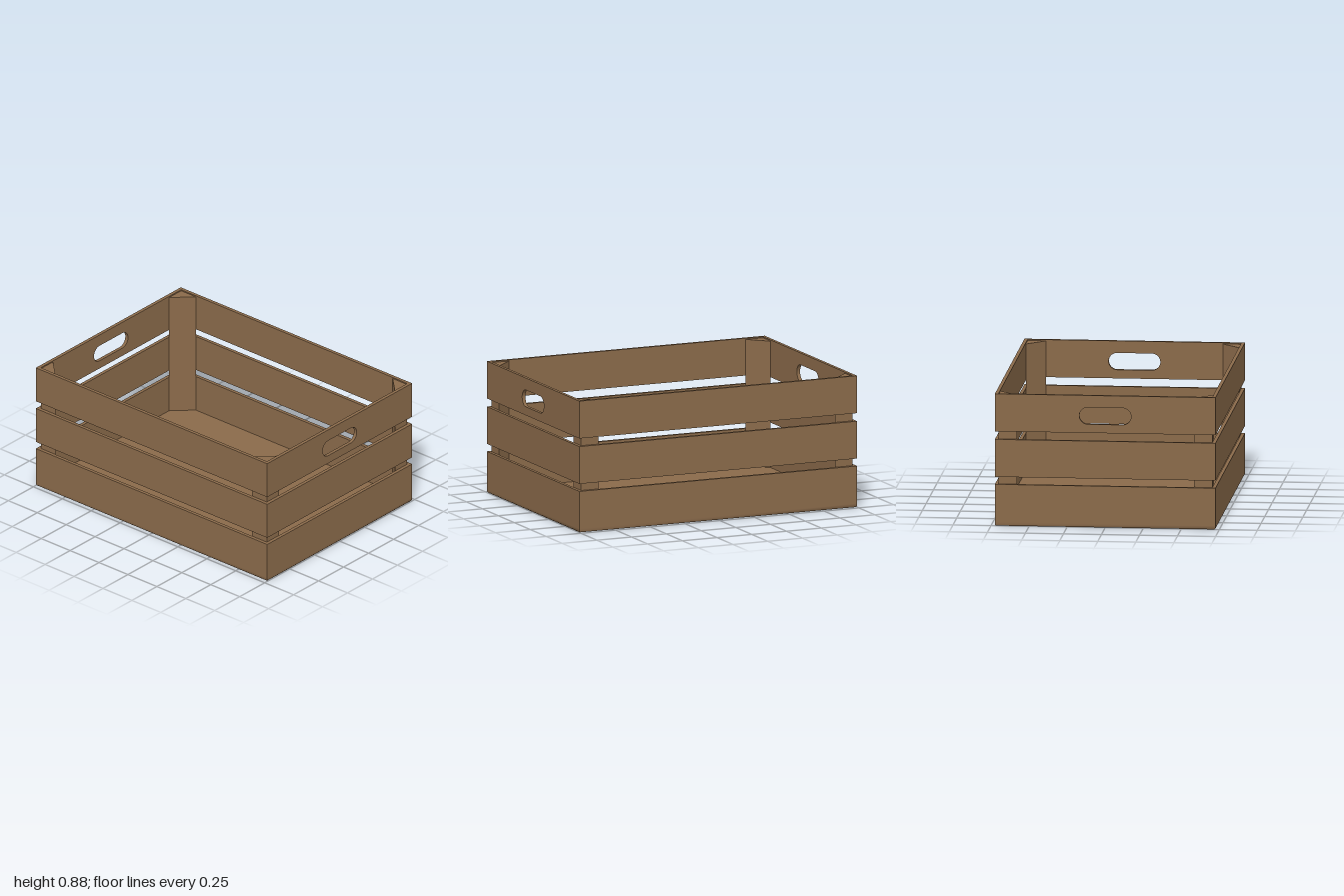
import * as THREE from 'three';

const W = 1, D = 0.725, T = 0.023, FLOOR = 0.025;
const wood = new THREE.MeshStandardMaterial({ color: 0x8a6a4a });
wood.name = 'brownWood';

export function createModel() {
  const crate = new THREE.Group();
  crate.name = 'crate';

  const add = (name, geometry, x = 0, y = 0, z = 0) => {
    const mesh = new THREE.Mesh(geometry, wood);
    mesh.name = name;
    mesh.position.set(x, y, z);
    crate.add(mesh);
    return mesh;
  };

  // Floor panel with a small chamfer around its underside
  const floor = new THREE.BoxGeometry(2 * W, FLOOR, 2 * D, 1, 2, 1);
  const p = floor.attributes.position;
  for (let i = 0; i < p.count; i++) {
    const y = p.getY(i);
    if (y < -0.001) {
      p.setX(i, p.getX(i) - Math.sign(p.getX(i)) * 0.007);
      p.setZ(i, p.getZ(i) - Math.sign(p.getZ(i)) * 0.007);
    } else if (y < 0.001) {
      p.setY(i, -FLOOR / 2 + 0.008);
    }
  }
  floor.computeVertexNormals();
  add('floor', floor, 0, FLOOR / 2, 0);

  // End board between the long boards, optionally with a rounded hand hole
  const endBoard = (y0, y1, handle) => {
    const h = D - T;
    const shape = new THREE.Shape();
    shape.moveTo(-h, y0);
    shape.lineTo(h, y0);
    shape.lineTo(h, y1);
    shape.lineTo(-h, y1);
    shape.closePath();
    if (handle) {
      const r = 0.056, c = 0.17 - r, y = 0.741;
      const hole = new THREE.Path();
      hole.absarc(c, y, r, -Math.PI / 2, Math.PI / 2, false);
      hole.absarc(-c, y, r, Math.PI / 2, Math.PI * 1.5, false);
      hole.closePath();
      shape.holes.push(hole);
    }
    return new THREE.ExtrudeGeometry(shape, { depth: T, bevelEnabled: false, curveSegments: 16 })
      .translate(0, 0, -T / 2)
      .rotateY(Math.PI / 2);
  };

  // Three tiers of boards on all four sides
  const tiers = [['lower', FLOOR, 0.275], ['middle', 0.325, 0.574], ['upper', 0.628, 0.877]];
  for (const [tier, y0, y1] of tiers) {
    for (const s of [1, -1]) {
      add(`${tier}${s > 0 ? 'Front' : 'Back'}Board`,
        new THREE.BoxGeometry(2 * W, y1 - y0, T), 0, (y0 + y1) / 2, s * (D - T / 2));
      add(`${tier}${s > 0 ? 'Left' : 'Right'}Board`,
        endBoard(y0, y1, tier === 'upper'), s * (W - T / 2), 0, 0);
    }
  }

  // Triangular posts in the corners, just below the rim
  for (const sx of [1, -1]) {
    for (const sz of [1, -1]) {
      const x = sx * (W - T), y = -sz * (D - T);
      const shape = new THREE.Shape([
        new THREE.Vector2(x, y),
        new THREE.Vector2(x - sx * 0.126, y),
        new THREE.Vector2(x, y + sz * 0.122),
      ]);
      const post = new THREE.ExtrudeGeometry(shape, { depth: 0.869 - FLOOR, bevelEnabled: false })
        .rotateX(-Math.PI / 2);
      add(`${sz > 0 ? 'front' : 'back'}${sx > 0 ? 'Left' : 'Right'}Post`, post, 0, FLOOR, 0);
    }
  }
  return crate;
}
